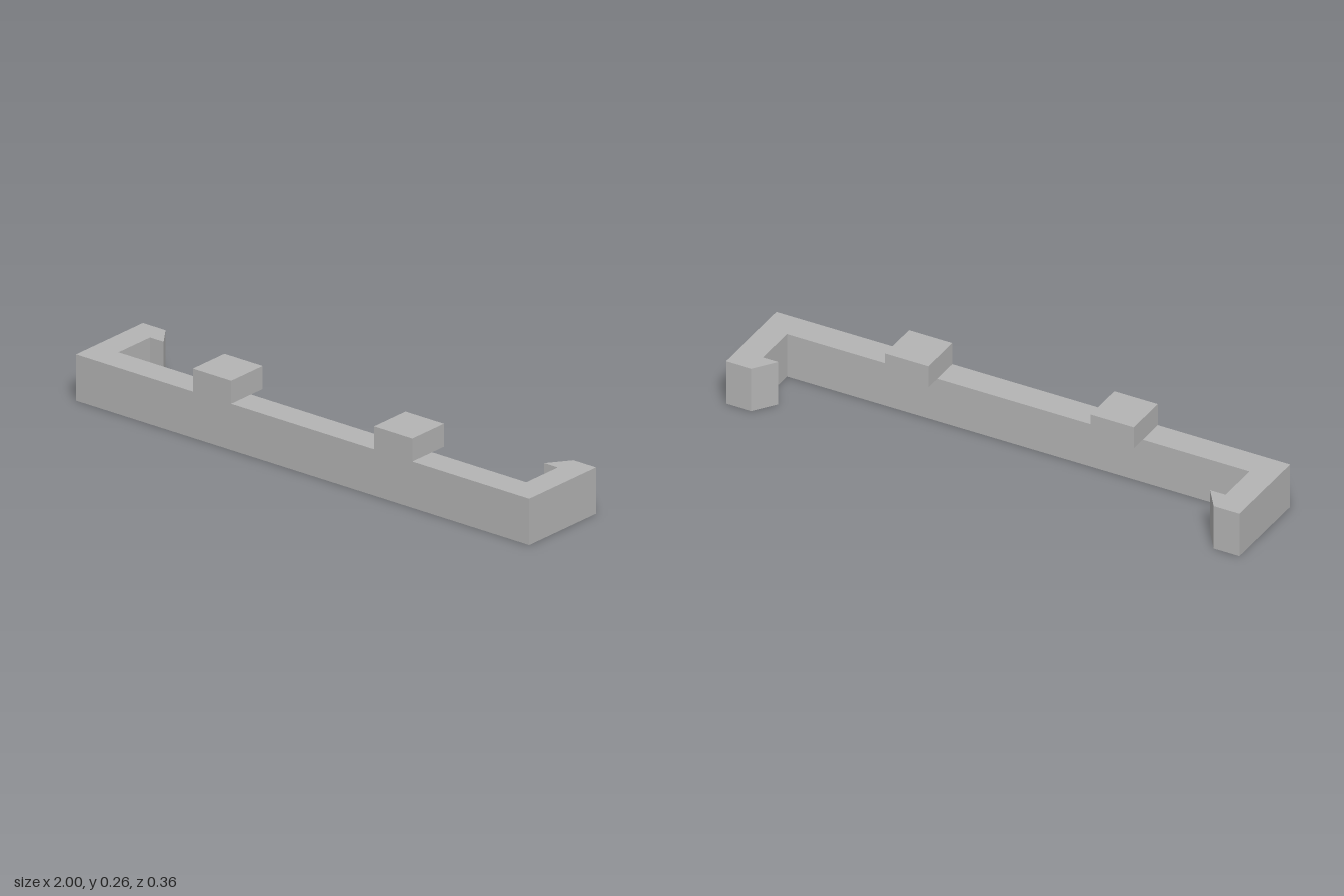
import * as THREE from 'three';

const HEIGHT = 0.171;
const FRONT = 0.179;

export function createModel() {
  const model = new THREE.Group();
  model.name = 'clipBracket';
  const grey = new THREE.MeshStandardMaterial({ color: 0xb4b4b4 });
  grey.name = 'grey';

  // Plan outline of the left half as [x, z], from the front corner round the barbed hook
  const half = [
    [1, FRONT], [1, -FRONT], [0.9, -FRONT],
    [0.84, -0.096], [0.9, -0.096], [0.9, 0.073],
  ];
  const outline = [...half, ...half.map(([x, z]) => [-x, z]).reverse()];
  const shape = new THREE.Shape(outline.map(([x, z]) => new THREE.Vector2(x, -z)));

  // Bar with a hooked arm at each end
  const barGeometry = new THREE.ExtrudeGeometry(shape, { depth: HEIGHT, bevelEnabled: false });
  barGeometry.rotateX(-Math.PI / 2);
  const bar = new THREE.Mesh(barGeometry, grey);
  bar.name = 'hookedBar';
  model.add(bar);

  // Two tabs on top, flush with the front and overhanging the back
  const tabHeight = 0.085;
  const tabDepth = 0.169;
  for (const side of [-1, 1]) {
    const tab = new THREE.Mesh(new THREE.BoxGeometry(0.169, tabHeight, tabDepth), grey);
    tab.name = side > 0 ? 'leftTab' : 'rightTab';
    tab.position.set(side * 0.4, HEIGHT + tabHeight / 2, FRONT - tabDepth / 2);
    model.add(tab);
  }

  return model;
}
